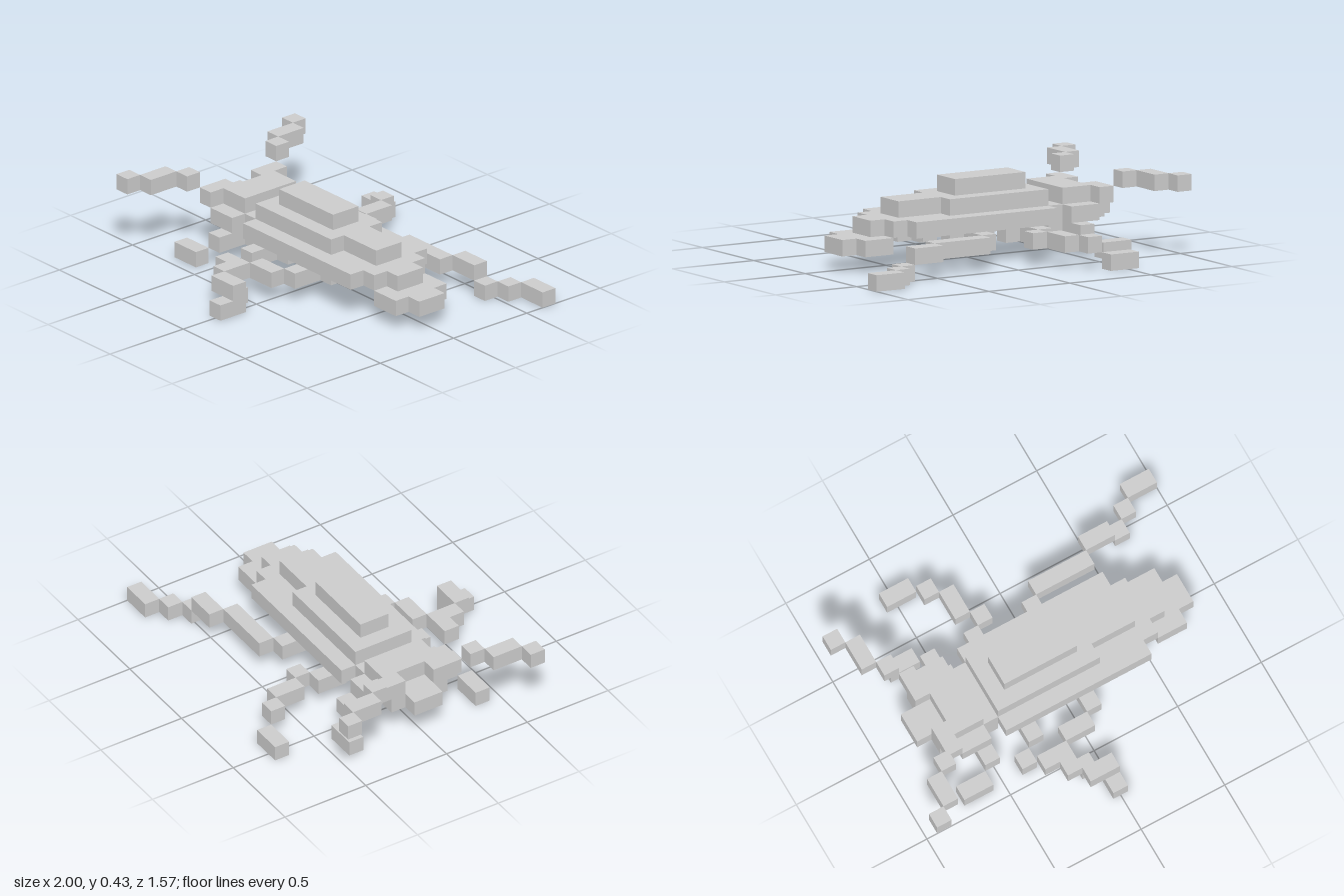
import * as THREE from 'three';

// Everything sits on a grid of 23 x 5 x 18 cells
const U = 2 / 23;
const material = new THREE.MeshStandardMaterial({ color: 0xcccccc, flatShading: true });

// Box from cell ranges: x0..x1, layer y, z0..z1
function block(parent, name, x0, x1, y, z0, z1) {
  const mesh = new THREE.Mesh(new THREE.BoxGeometry((x1 - x0) * U, U, (z1 - z0) * U), material);
  mesh.position.set(((x0 + x1) / 2 - 11.5) * U, (y + 0.5) * U, ((z0 + z1) / 2 - 9) * U);
  mesh.name = name;
  parent.add(mesh);
}

function part(root, name, blocks) {
  const group = new THREE.Group();
  group.name = name;
  blocks.forEach((b, i) => block(group, name + 'Segment' + (i + 1), ...b));
  root.add(group);
}

// Mirror cell ranges across the long axis
const mirror = (blocks) => blocks.map(([x0, x1, y, z0, z1]) => [x0, x1, y, 18 - z1, 18 - z0]);

// Upper leg that starts under the body and steps outward
const hip = (x) => [[x + 1, x + 2, 1, 7, 8], [x, x + 1, 1, 5, 7]];

export function createModel() {
  const root = new THREE.Group();
  root.name = 'beetle';

  // Stepped shell
  part(root, 'shell', [
    [7, 17, 2, 6, 12],
    [7, 14, 3, 7, 11],
    [14, 17, 3, 8, 10],
    [8, 13, 4, 8, 10],
  ]);
  part(root, 'tail', [
    [17, 18, 2, 7, 11],
    [18, 19, 2, 8, 10],
    [18, 20, 1, 7, 11],
    [20, 21, 1, 8, 10],
  ]);

  // Head with two brow bumps, neck and snout
  part(root, 'head', [
    [4, 6, 2, 6, 12],
    [4, 6, 3, 7, 11],
    [3, 4, 2, 7, 11],
    [3, 4, 3, 7, 8],
    [3, 4, 3, 10, 11],
  ]);
  part(root, 'neck', [[6, 7, 2, 7, 11]]);
  part(root, 'snout', [[2, 3, 2, 8, 10]]);

  // Antennae and the pair of legs by the head
  const antenna = [[3, 4, 3, 6, 7], [2, 3, 4, 5, 6], [1, 2, 4, 3, 5], [0, 1, 4, 2, 3]];
  const headLeg = [...hip(5), [3, 5, 0, 4, 5]];
  part(root, 'backAntenna', antenna);
  part(root, 'frontAntenna', mirror(antenna));
  part(root, 'backHeadLeg', headLeg);
  part(root, 'frontHeadLeg', mirror(headLeg));

  // Legs on the back side
  part(root, 'backMiddleLeg', [
    ...hip(8), [9, 10, 1, 4, 5], [8, 9, 1, 2, 4], [7, 8, 1, 1, 2], [5, 7, 0, 0, 1],
  ]);
  part(root, 'backTailLeg', [
    ...hip(12), [13, 17, 1, 4, 5], [17, 19, 1, 3, 4],
    [19, 20, 0, 3, 4], [20, 21, 0, 2, 3], [21, 23, 0, 1, 2],
  ]);

  // Legs on the front side
  part(root, 'frontMiddleLeg', [
    ...mirror(hip(8)), [7, 8, 0, 13, 14], [8, 10, 1, 14, 15], [9, 10, 1, 15, 16],
  ]);
  part(root, 'frontTailLeg', [
    ...mirror(hip(12)), [10, 12, 1, 13, 14], [10, 11, 0, 15, 16],
    [10, 12, 1, 16, 17], [11, 12, 0, 16, 18],
  ]);
  return root;
}
